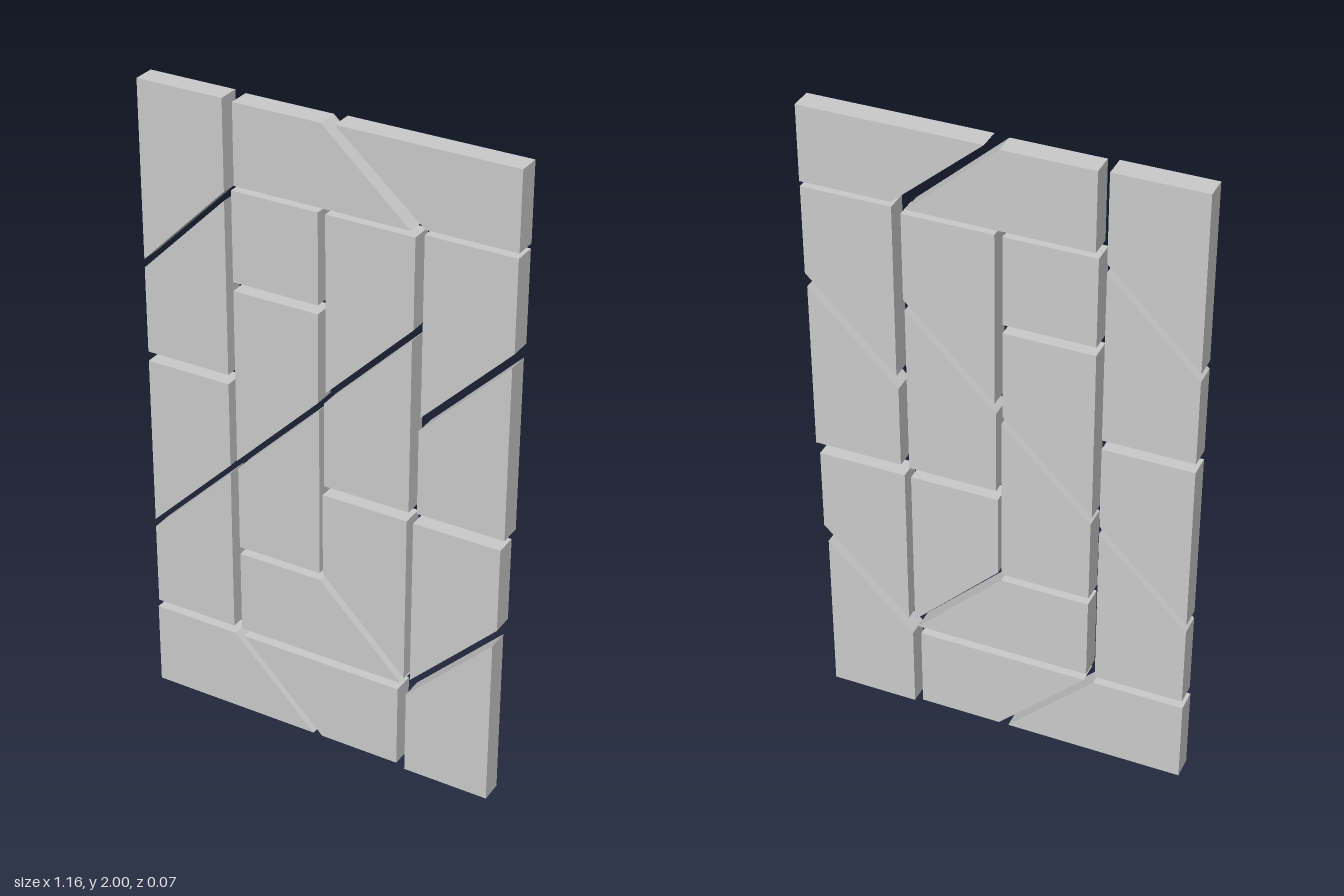
import * as THREE from 'three';

const DEPTH = 0.068; // panel thickness
const UNIT = 0.27; // tile width, also the run of every diagonal cut

export function createModel() {
  const group = new THREE.Group();
  group.name = 'tilePanel';
  const material = new THREE.MeshStandardMaterial({ color: 0xcccccc, flatShading: true });

  function addTile(name, corners) {
    const shape = new THREE.Shape(corners.map(([x, y]) => new THREE.Vector2(x, y)));
    const geometry = new THREE.ExtrudeGeometry(shape, { depth: DEPTH, bevelEnabled: false });
    geometry.translate(0, 0, -DEPTH / 2);
    const tile = new THREE.Mesh(geometry, material);
    tile.name = name;
    group.add(tile);
  }

  // Upright tile one unit wide; the slopes raise (1) or lower (-1) its right corners
  function upright(name, x, bottom, top, bottomSlope, topSlope) {
    addTile(name, [
      [x, bottom],
      [x + UNIT, bottom + bottomSlope * UNIT],
      [x + UNIT, top + topSlope * UNIT],
      [x, top],
    ]);
  }

  // Lying tile; left and right are its lower corners, a lean of 1 moves the upper one left
  function lying(name, y, height, left, right, leftLean, rightLean) {
    addTile(name, [
      [left, y],
      [right, y],
      [right - rightLean * UNIT, y + height],
      [left - leftLean * UNIT, y + height],
    ]);
  }

  // Left column
  upright('leftTileTop', -0.577, 1.459, 2, 1, 0);
  upright('leftTileUpper', -0.577, 1.165, 1.433, 0, 1);
  upright('leftTileLower', -0.577, 0.597, 1.135, 1, 0);
  upright('leftTileBottom', -0.577, 0.306, 0.571, 0, 1);

  // Inner left column
  upright('innerTileSquare', -0.284, 1.463, 1.739, 0, 0);
  upright('innerTileUpper', -0.284, 0.89, 1.436, 1, 0);
  upright('innerTileLower', -0.281, 0.596, 0.865, 0, 1);

  // Centre column
  upright('centreTileTop', 0.009, 1.197, 1.739, 1, 0);
  upright('centreTileMiddle', 0.005, 0.896, 1.164, 0, 1);
  upright('centreTileBottom', 0, 0.599, 0.865, -1, 0);

  // Right column
  upright('rightTileTop', 0.306, 1.208, 1.753, 1, 0);
  upright('rightTileMiddle', 0.301, 0.9, 1.165, 0, 1);
  upright('rightTileLower', 0.29, 0.329, 0.865, 1, 0);
  upright('rightTileBottom', 0.278, 0, 0.272, 0, 1);

  // Rows
  lying('topTileMiddle', 1.754, 0.242, -0.275, 0.265, 0, 1);
  lying('topTileRight', 1.768, 0.232, 0.307, 0.577, 1, 0);
  lying('innerTileBase', 0.306, 0.267, -0.28, 0.26, 0, 1);
  lying('bottomTileLeft', 0.012, 0.269, -0.58, -0.033, 0, 1);
  lying('bottomTileMiddle', 0.012, 0.269, -0.003, 0.251, 1, 0);

  return group;
}
